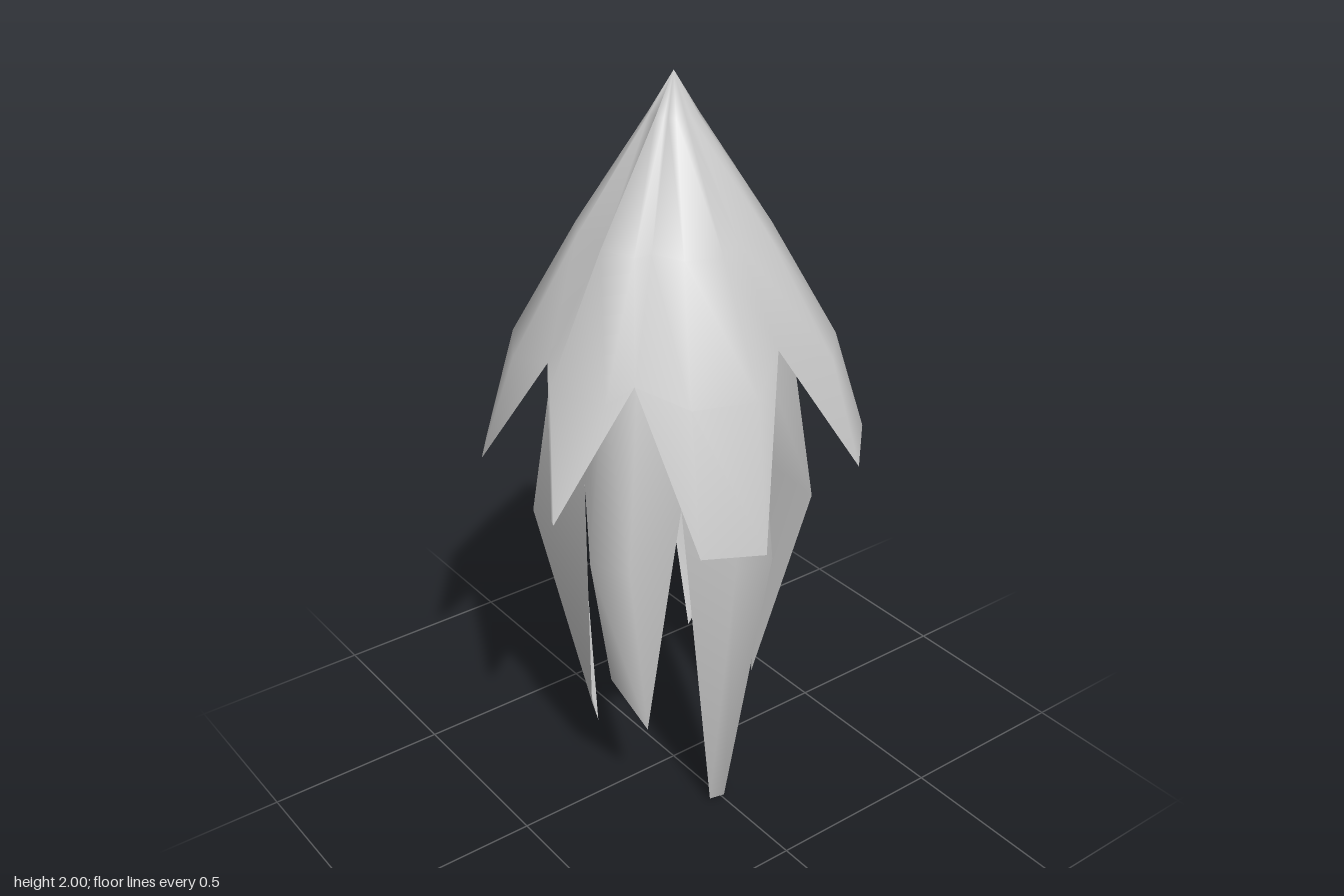
import * as THREE from 'three';
import { mergeVertices } from 'three/addons/utils/BufferGeometryUtils.js';

const material = new THREE.MeshStandardMaterial({ color: 0xcccccc, side: THREE.DoubleSide });

// A bell of petals. Columns run from the apex down to the rim, three per petal:
// the notch before it and the two corners of its tip.
// rows: [y, radius on the petals, radius at the notches]
// ridge: [y, radius, half width in radians] where each petal bends inwards
function petalBell(name, apexY, rows, ridge, petals) {
  const columns = [];
  for (const { notch, tips } of petals) {
    const mid = Math.atan2(tips[0][0] + tips[1][0], tips[0][2] + tips[1][2]);
    const at = (angle, r, y) => [Math.sin(angle) * r, y, Math.cos(angle) * r];
    const notchAngle = Math.atan2(notch[0], notch[2]);
    columns.push([[0, apexY, 0], ...rows.map(([y, , r]) => at(notchAngle, r, y)), notch, notch]);
    tips.forEach((tip, k) => {
      const angle = mid + (k ? 1 : -1) * ridge[2];
      columns.push([[0, apexY, 0], ...rows.map(([y, r]) => at(angle, r, y)),
        at(angle, ridge[1], ridge[0]), tip]);
    });
  }

  // Skin neighbouring columns, leaving out collapsed triangles
  const positions = [];
  const triangle = (a, b, c) => {
    if (a !== b && b !== c && a !== c) positions.push(...a, ...b, ...c);
  };
  columns.forEach((left, j) => {
    const right = columns[(j + 1) % columns.length];
    for (let i = 0; i < left.length - 1; i++) {
      triangle(left[i], left[i + 1], right[i + 1]);
      if (i > 0) triangle(left[i], right[i + 1], right[i]);
    }
  });
  let geometry = new THREE.BufferGeometry();
  geometry.setAttribute('position', new THREE.Float32BufferAttribute(positions, 3));
  geometry = mergeVertices(geometry);
  geometry.computeVertexNormals();
  const mesh = new THREE.Mesh(geometry, material);
  mesh.name = name;
  return mesh;
}

export function createModel() {
  const group = new THREE.Group();
  group.name = 'hangingBlossom';

  // Short flared petals under a pointed cap
  group.add(petalBell('outerPetals', 2, [[1.9, 0.06, 0.05], [1.62, 0.24, 0.2]], [1.32, 0.41, 0.2], [
    { notch: [-0.28, 1.35, 0.22], tips: [[-0.245, 0.97, 0.43], [-0.08, 0.945, 0.475]] },
    { notch: [0.075, 1.38, 0.315], tips: [[0.285, 1.03, 0.395], [0.405, 1.06, 0.275]] },
    { notch: [0.335, 1.34, 0.065], tips: [[0.488, 1.075, -0.09], [0.425, 1.055, -0.255]] },
    { notch: [0.2, 1.37, -0.265], tips: [[0.13, 0.99, -0.465], [-0.045, 0.98, -0.48]] },
    { notch: [-0.16, 1.38, -0.305], tips: [[-0.365, 1.015, -0.33], [-0.462, 1.045, -0.19]] },
    { notch: [-0.37, 1.35, -0.01], tips: [[-0.485, 1.04, 0.16], [-0.488, 1.03, 0.175]] },
  ]));

  // Long narrow petals hanging from a dome inside the cap
  group.add(petalBell('innerPetals', 1.75, [[1.71, 0.1, 0.09], [1.55, 0.22, 0.19], [1.3, 0.3, 0.25]], [0.84, 0.37, 0.15], [
    { notch: [-0.15, 0.98, 0.23], tips: [[-0.04, 0.01, 0.22], [0.01, 0, 0.22]] },
    { notch: [0.12, 1.03, 0.23], tips: [[0.19, 0.28, 0.11], [0.23, 0.36, 0.06]] },
    { notch: [0.27, 1.04, -0.02], tips: [[0.21, 0.38, -0.14], [0.19, 0.28, -0.18]] },
    { notch: [0.14, 1, -0.27], tips: [[0.02, 0.13, -0.25], [-0.02, 0.15, -0.25]] },
    { notch: [-0.14, 1, -0.25], tips: [[-0.15, 0.1, -0.16], [-0.19, 0.2, -0.13]] },
    { notch: [-0.28, 1, 0], tips: [[-0.28, 0.45, 0.1], [-0.2, 0.28, 0.15]] },
  ]));
  return group;
}
